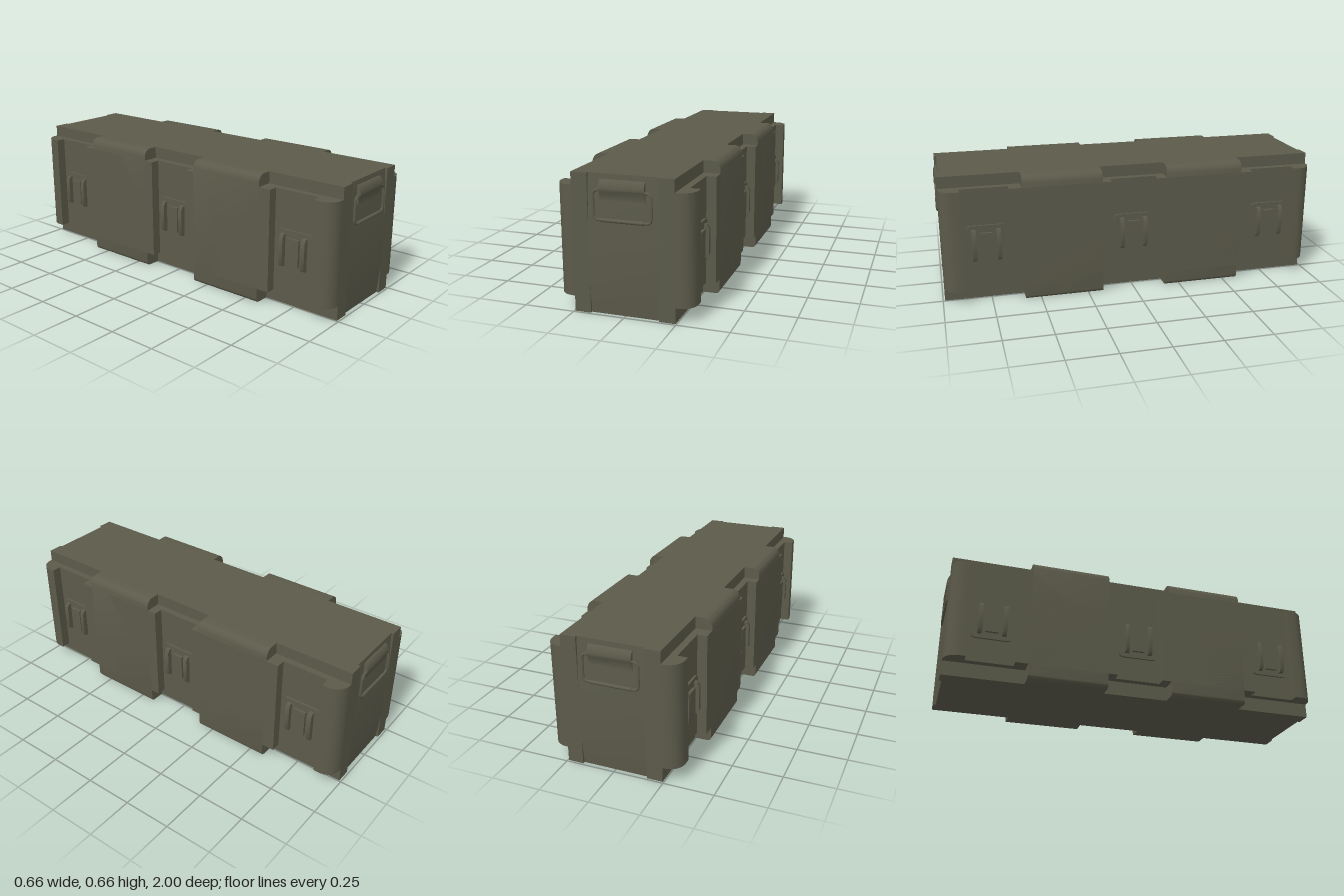
import * as THREE from 'three';
import { toCreasedNormals } from 'three/addons/utils/BufferGeometryUtils.js';

const olive = new THREE.MeshStandardMaterial({ color: 0x5b5a4a });
olive.name = 'olive';

const H = 0.662, W = 0.33, CORE = 0.245, PANEL = 0.167, END = 0.99;
const LOW = 0.075, HIGH = 0.602;

function part(name, geometry, parent) {
  const mesh = new THREE.Mesh(geometry, olive);
  mesh.name = name;
  parent.add(mesh);
  return mesh;
}

function box(name, x0, x1, y0, y1, z0, z1, parent) {
  const g = new THREE.BoxGeometry(x1 - x0, y1 - y0, z1 - z0);
  g.translate((x0 + x1) / 2, (y0 + y1) / 2, (z0 + z1) / 2);
  return part(name, g, parent);
}

// Extrude a shape by a depth, centred on its own z
function prism(shape, depth) {
  const g = new THREE.ExtrudeGeometry(shape, { depth, bevelEnabled: false, curveSegments: 6 });
  g.translate(0, 0, -depth / 2);
  return toCreasedNormals(g, 0.6);
}

function polygon(points) {
  return new THREE.Shape(points.map(([x, y]) => new THREE.Vector2(x, y)));
}

function roundedRect(w, h, r) {
  const s = new THREE.Shape();
  s.moveTo(w / 2, -h / 2 + r);
  [[1, 1], [-1, 1], [-1, -1], [1, -1]].forEach(([sx, sy], i) => {
    const x = sx * w / 2, y = sy * h / 2, vertical = i % 2 === 0;
    s.lineTo(x - (vertical ? 0 : sx * r), y - (vertical ? sy * r : 0));
    s.quadraticCurveTo(x, y, x - (vertical ? sx * r : 0), y - (vertical ? 0 : sy * r));
  });
  s.closePath();
  return s;
}

function latch() {
  const g = new THREE.Group();
  g.name = 'latch';
  // Base plate facing +x
  const plate = prism(roundedRect(0.204, 0.208, 0.025), 0.014);
  plate.rotateY(Math.PI / 2);
  plate.translate(0.284, 0.305, 0);
  part('latchPlate', plate, g);
  box('latchTongue', 0.285, 0.305, 0.235, 0.372, -0.032, 0.032, g);
  // Raised bars with sloping ends
  for (const z of [-0.062, 0.062]) {
    const bar = prism(polygon([[0.285, 0.222], [0.305, 0.225], [0.316, 0.245],
      [0.316, 0.368], [0.305, 0.388], [0.285, 0.391]]), 0.022);
    bar.translate(0, 0, z);
    part('latchBar', bar, g);
  }
  return g;
}

// Everything outside the core on the +x side
function side() {
  const g = new THREE.Group();
  g.name = 'side';
  box('endFrame', PANEL, CORE, 0, H, -END, END, g);

  // Side wall in plan: rounded ends and three latch recesses
  const r = 0.065, floor = 0.28;
  const wall = new THREE.Shape();
  wall.moveTo(CORE, -END);
  wall.lineTo(W - r, -END);
  wall.quadraticCurveTo(W - 0.01, -END + 0.01, W, -END + r);
  for (const [a, b] of [[-0.885, -0.645], [-0.12, 0.12], [0.645, 0.885]]) {
    wall.lineTo(W, a);
    wall.lineTo(floor, a);
    wall.lineTo(floor, b);
    wall.lineTo(W, b);
  }
  wall.lineTo(W, END - r);
  wall.quadraticCurveTo(W - 0.01, END - 0.01, W - r, END);
  wall.lineTo(CORE, END);
  wall.closePath();
  const wallGeo = prism(wall, HIGH - LOW);
  wallGeo.rotateX(-Math.PI / 2);
  wallGeo.translate(0, (LOW + HIGH) / 2, 0);
  part('sideWall', wallGeo, g);

  // Full-height shoulders between the latches
  const s = new THREE.Shape();
  s.moveTo(CORE, 0);
  s.lineTo(W - 0.017, 0);
  s.quadraticCurveTo(W - 0.002, 0.002, W, 0.02);
  s.lineTo(W, H - 0.038);
  s.quadraticCurveTo(W - 0.008, H - 0.004, W - 0.036, H);
  s.lineTo(CORE, H);
  s.closePath();
  for (const z of [-0.375, 0.375]) {
    const shoulder = prism(s, 0.41);
    shoulder.translate(0, 0, z);
    part('shoulder', shoulder, g);
  }

  for (const z of [-0.765, 0, 0.765]) {
    const l = latch();
    l.position.z = z;
    g.add(l);
  }
  return g;
}

// Carrying handle on the +z end
function handle() {
  const g = new THREE.Group();
  g.name = 'handle';
  const x = 0.138, y0 = 0.452, y1 = 0.589, c = 0.027, z = 0.991;
  const corners = [[x, y0, -1, 1], [x, y1, -1, -1], [-x, y1, 1, -1], [-x, y0, 1, 1]];
  const path = new THREE.CurvePath();
  const v = (px, py) => new THREE.Vector3(px, py, z);
  let last = null, first = null;
  corners.forEach(([px, py, dx, dy], i) => {
    const along = v(px + dx * c, py), up = v(px, py + dy * c);
    const [a, b] = i % 2 === 0 ? [along, up] : [up, along];
    if (last) path.add(new THREE.LineCurve3(last, a));
    else first = a;
    path.add(new THREE.QuadraticBezierCurve3(a, v(px, py), b));
    last = b;
  });
  path.add(new THREE.LineCurve3(last, first));
  part('handleRing', new THREE.TubeGeometry(path, 96, 0.0065, 8, true), g);

  const grip = new THREE.CylinderGeometry(0.009, 0.009, 0.205, 10);
  grip.rotateZ(Math.PI / 2);
  grip.translate(0, y0, z);
  part('handleGrip', grip, g);

  // Hinge cover: rounded roll above a flat lip
  const cover = prism(polygon([[0.97, 0.637], [0.983, 0.637], [0.991, 0.628], [0.997, 0.613],
    [1.0, 0.598], [0.999, 0.588], [0.994, 0.58], [0.991, 0.572], [0.99, 0.545], [0.97, 0.545]].reverse()), 0.216);
  cover.rotateY(-Math.PI / 2);
  part('handleHinge', cover, g);
  return g;
}

export function createModel() {
  const crate = new THREE.Group();
  crate.name = 'crate';

  // Core whose ends slope inward at the top and bottom
  const d = END - 0.013;
  const core = prism(polygon([[-d, 0], [d, 0], [END, 0.14], [END, 0.4], [d, H],
    [-d, H], [-END, 0.4], [-END, 0.14]]), PANEL * 2);
  core.rotateY(-Math.PI / 2);
  part('core', core, crate);

  for (const turn of [0, Math.PI]) {
    for (const make of [side, handle]) {
      const g = make();
      g.rotation.y = turn;
      crate.add(g);
    }
  }
  return crate;
}
